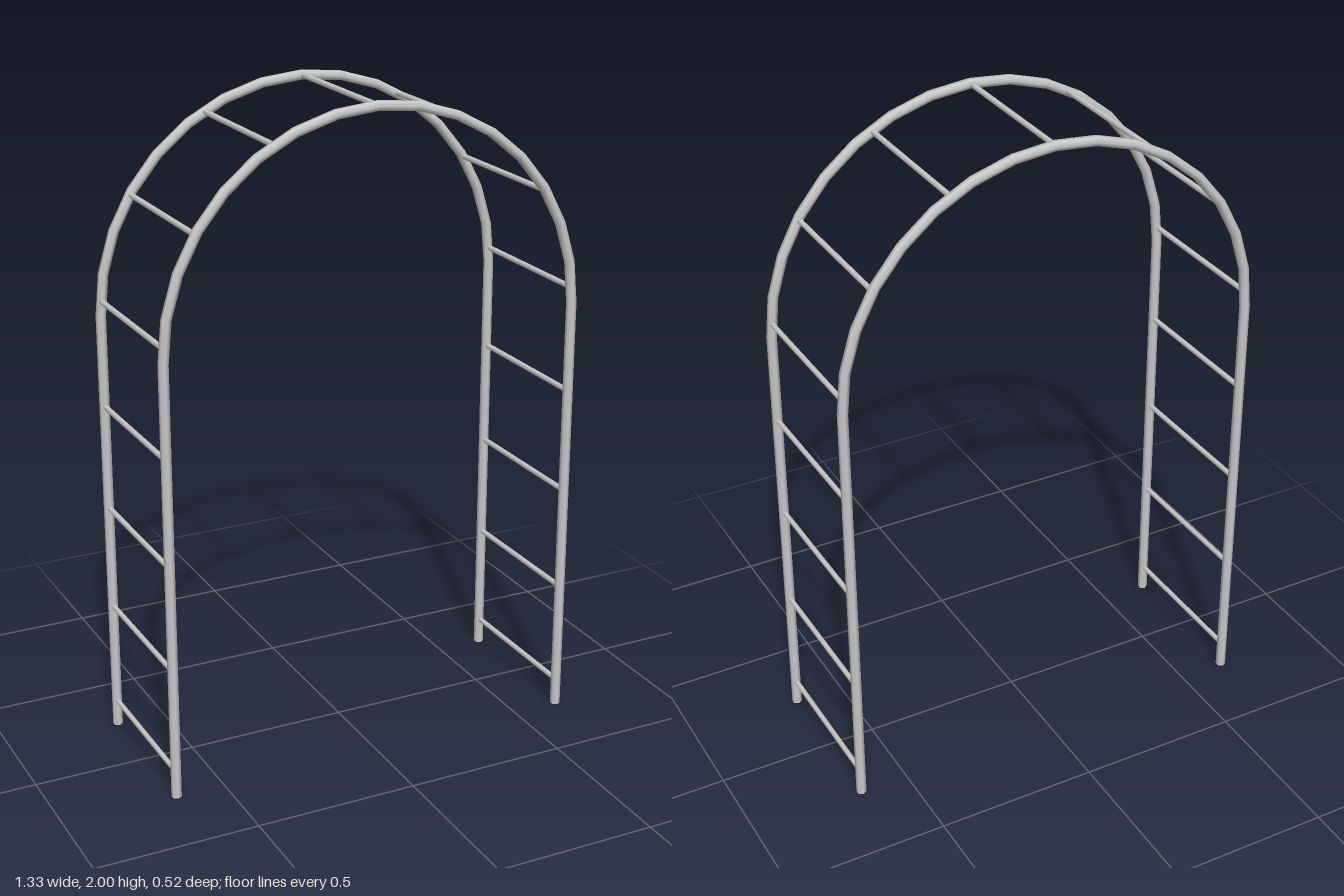
import * as THREE from 'three';

const RADIUS = 0.65;       // arch centreline radius
const TUBE = 0.0155;       // corner radius of the six-sided rail
const SPRING = 2 - RADIUS - TUBE * Math.cos(Math.PI / 6); // height where the arch begins
const RAIL_Z = 0.2445;
const STEP = 0.325;        // rung spacing along the rail
const SIDES = 6;
const ARCH_SEGMENTS = 16;

const material = new THREE.MeshStandardMaterial({ color: 0xcccccc });

// One continuous rail: leg, half-circle, leg, lofted from hexagonal rings
function railGeometry() {
  const sections = [[RADIUS, 0, 0]];
  for (let i = 0; i <= ARCH_SEGMENTS; i++) {
    const a = Math.PI * i / ARCH_SEGMENTS;
    sections.push([RADIUS * Math.cos(a), SPRING + RADIUS * Math.sin(a), a]);
  }
  sections.push([-RADIUS, 0, Math.PI]);

  const positions = [], normals = [], index = [];
  const last = sections.length - 1;
  sections.forEach(([x, y, a], i) => {
    for (let j = 0; j < SIDES; j++) {
      const phi = Math.PI / 6 + j * 2 * Math.PI / SIDES;
      const nx = Math.cos(phi) * Math.cos(a);
      const ny = Math.cos(phi) * Math.sin(a);
      const nz = Math.sin(phi);
      positions.push(x + TUBE * nx, y + TUBE * ny, TUBE * nz);
      normals.push(nx, ny, nz);
      if (i < last) {
        const p = i * SIDES + j, q = i * SIDES + (j + 1) % SIDES;
        index.push(p, p + SIDES, q, q, p + SIDES, q + SIDES);
      }
    }
  });
  // Close both feet
  const end = last * SIDES;
  for (let j = 1; j < SIDES - 1; j++) {
    index.push(0, j, j + 1, end, end + j + 1, end + j);
  }

  const geometry = new THREE.BufferGeometry();
  geometry.setAttribute('position', new THREE.Float32BufferAttribute(positions, 3));
  geometry.setAttribute('normal', new THREE.Float32BufferAttribute(normals, 3));
  geometry.setIndex(index);
  return geometry;
}

// Point on the rail at a signed distance from the crown
function railPoint(distance) {
  const side = Math.sign(distance);
  const d = Math.abs(distance);
  const quarter = RADIUS * Math.PI / 2;
  if (d > quarter) return [side * RADIUS, SPRING - (d - quarter)];
  const a = distance / RADIUS;
  return [RADIUS * Math.sin(a), SPRING + RADIUS * Math.cos(a)];
}

function addMesh(parent, name, geometry, x, y, z) {
  const mesh = new THREE.Mesh(geometry, material);
  mesh.name = name;
  mesh.position.set(x, y, z);
  parent.add(mesh);
}

export function createModel() {
  const model = new THREE.Group();
  model.name = 'gardenArch';

  // Front and back rails
  const rail = railGeometry();
  addMesh(model, 'frontRail', rail, 0, 0, RAIL_Z);
  addMesh(model, 'backRail', rail, 0, 0, -RAIL_Z);

  // Rungs evenly spaced along the rails, from foot to foot
  const rungs = new THREE.Group();
  rungs.name = 'rungs';
  const rung = new THREE.CylinderGeometry(0.0085, 0.0085, 2 * RAIL_Z, SIDES, 1, true, Math.PI / 2);
  rung.rotateX(Math.PI / 2);
  for (let i = -7; i <= 7; i++) {
    const [x, y] = railPoint(i * STEP);
    addMesh(rungs, 'rung', rung, x, y, 0);
  }
  model.add(rungs);

  return model;
}
